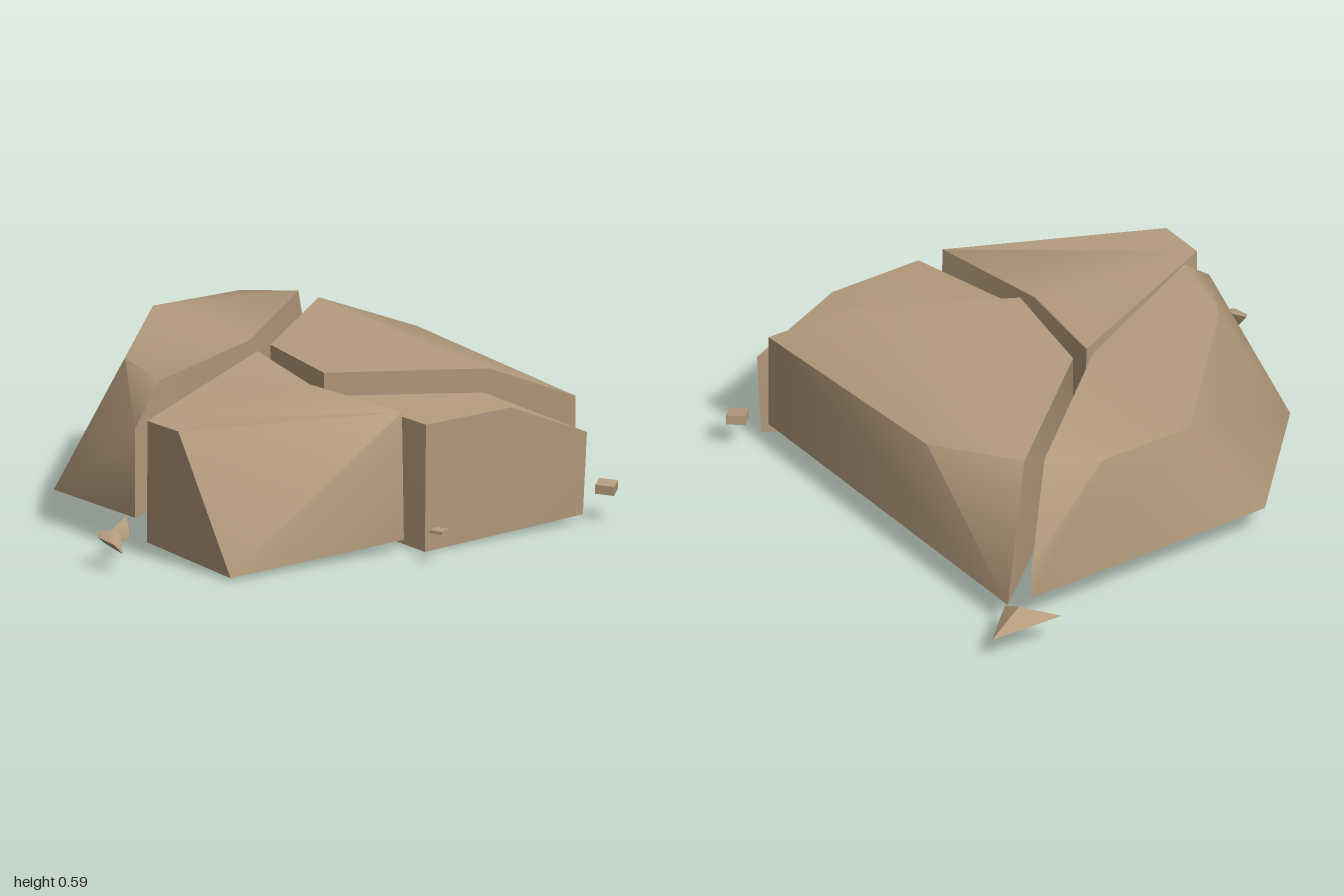
import * as THREE from 'three';
import { toCreasedNormals } from 'three/addons/utils/BufferGeometryUtils.js';
import { ConvexGeometry } from 'three/addons/geometries/ConvexGeometry.js';

const CREASE = 1.05;
const vectors = (points) => points.map((p) => new THREE.Vector3(...p));

// Convex stone wrapped around its corner points
function hull(points) {
  const geometry = new ConvexGeometry(vectors(points));
  return toCreasedNormals(geometry, CREASE);
}

// Stone between a bottom and a top outline, both counter-clockwise from above
function slab(bottom, top) {
  const n = bottom.length;
  const corners = [...bottom, ...top];
  const faces = [];
  for (let i = 0; i < n; i++) {
    const j = (i + 1) % n;
    faces.push([i, j, n + j], [i, n + j, n + i]);
  }
  const cap = (ring) => THREE.ShapeUtils.triangulateShape(
    ring.map(([x, , z]) => new THREE.Vector2(x, -z)), []);
  for (const [a, b, c] of cap(top)) faces.push([n + a, n + b, n + c]);
  for (const [a, b, c] of cap(bottom)) faces.push([c, b, a]);
  const geometry = new THREE.BufferGeometry().setFromPoints(
    vectors(faces.flat().map((i) => corners[i])));
  return toCreasedNormals(geometry, CREASE);
}

export function createModel() {
  const group = new THREE.Group();
  const stone = new THREE.MeshStandardMaterial({ color: 0xb59c7d });
  stone.name = 'sandstone';
  const add = (name, geometry) => {
    const mesh = new THREE.Mesh(geometry, stone);
    mesh.name = name;
    group.add(mesh);
    return mesh;
  };

  // Large rear piece with a sloping outer rim
  add('backSlab', hull([
    [-0.3, 0.12, -0.82], [0.73, 0.12, -0.82], [0.03, 0.12, -0.22],
    [-0.74, 0.12, 0.14], [-0.74, 0.12, -0.36],
    [0.73, 0.25, -0.82], [-0.74, 0.45, 0.14],
    [0.03, 0.59, -0.82], [0.42, 0.59, -0.82], [0.58, 0.59, -0.69],
    [0.03, 0.59, -0.22], [-0.58, 0.59, 0.07], [-0.49, 0.59, -0.27],
  ]));

  // Right-hand piece
  add('sideSlab', hull([
    [0.8, 0.09, -0.77], [0.8, 0.09, 0.71], [0.01, 0.09, 0.26], [0.09, 0.09, -0.18],
    [0.8, 0.46, 0.71], [0.8, 0.515, -0.27],
    [0.63, 0.57, -0.635], [0.53, 0.57, 0.555], [0.01, 0.57, 0.26], [0.09, 0.57, -0.18],
  ]));

  // Tilted front pieces
  add('frontSlab', slab(
    [[-0.73, 0.04, 0.2], [-0.72, 0.01, 0.7], [0.04, 0.04, 0.71],
      [-0.04, 0.065, 0.28], [0.03, 0.09, -0.17]],
    [[-0.75, 0.5, 0.23], [-0.75, 0.5, 0.42], [0.01, 0.525, 0.74],
      [-0.06, 0.54, 0.27], [0.01, 0.565, -0.15]],
  ));
  add('frontWedge', hull([
    [0.02, 0.04, 0.32], [0.09, 0, 0.77], [0.8, 0.03, 0.755],
    [0.005, 0.505, 0.35], [0.08, 0.478, 0.79], [0.46, 0.485, 0.79],
    [0.47, 0.5, 0.605], [0.8, 0.34, 0.78], [0.79, 0.345, 0.772],
  ]));

  // Loose chips around the slabs
  add('pointedChip', hull([
    [0.71, 0.12, -0.98], [0.99, 0.1, -0.94], [0.82, 0.1, -0.78], [0.85, 0.175, -0.91],
  ]));
  add('wedgeChip', hull([
    [-0.91, 0.085, 0.19], [-0.89, 0.055, 0.2], [-0.8, 0.145, 0.17],
    [-0.78, 0.115, 0.16], [-0.835, 0.075, 0.24], [-0.82, 0.12, 0.21],
  ]));
  add('splinterChip', hull([
    [-1, 0.115, 0.27], [-0.975, 0.13, 0.24], [-0.93, 0.13, 0.31], [-0.985, 0.1, 0.355],
    [-0.945, 0.06, 0.35], [-0.965, 0.14, 0.3], [-0.965, 0.085, 0.27],
  ]));
  const flatChip = add('flatChip', new THREE.BoxGeometry(0.053, 0.012, 0.053));
  flatChip.position.set(0.032, 0.122, 0.94);
  flatChip.rotation.y = 0.4;
  const blockChip = add('blockChip', new THREE.BoxGeometry(0.07, 0.035, 0.07));
  blockChip.position.set(0.89, 0.122, 0.775);
  blockChip.rotation.set(0.1, 0.75, 0.05);

  return group;
}
